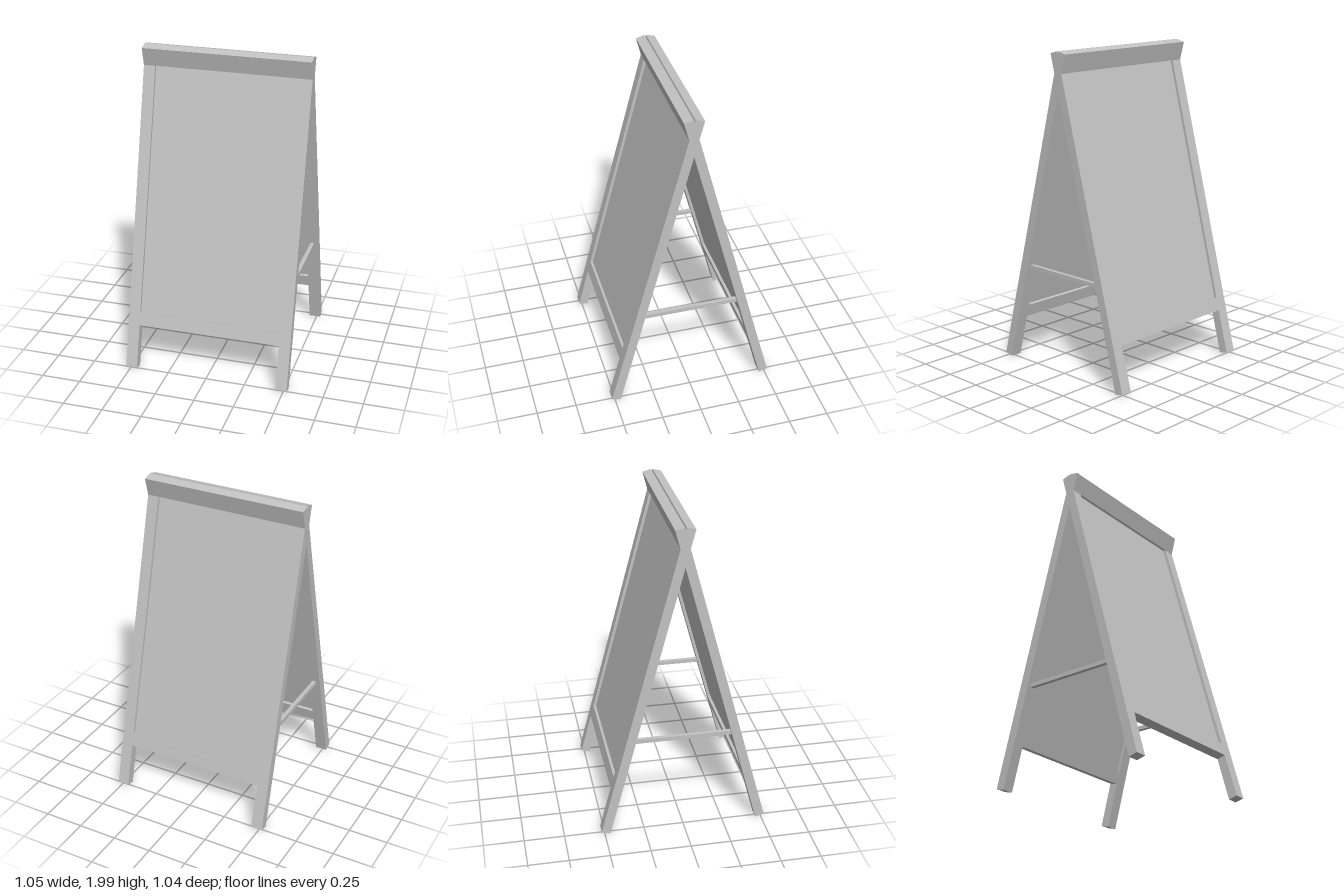
import * as THREE from 'three';

const TILT = 0.2592;      // lean of each board
const LENGTH = 2.048;     // board length along its slope
const HALF = 0.525;       // half width
const INNER = 0.452;      // half width between the stiles
const THICK = 0.057;
const RAIL = [0.28, 0.362]; // bottom rail, measured along the slope
const OPENING_TOP = 1.93;

export function createModel() {
  const model = new THREE.Group();
  model.name = 'sandwichBoard';
  const grey = new THREE.MeshStandardMaterial({ color: 0xc2c2c2 });
  grey.name = 'paintedGrey';

  const add = (parent, name, geometry, x, y, z) => {
    const mesh = new THREE.Mesh(geometry, grey);
    mesh.name = name;
    mesh.position.set(x, y, z);
    parent.add(mesh);
    return mesh;
  };

  // Frame outline: two stiles ending in legs, joined by rails around an opening
  const outline = new THREE.Shape([
    [-HALF, 0], [-INNER, 0], [-INNER, RAIL[0]], [INNER, RAIL[0]],
    [INNER, 0], [HALF, 0], [HALF, LENGTH], [-HALF, LENGTH],
  ].map(([x, y]) => new THREE.Vector2(x, y)));
  outline.holes.push(new THREE.Path([
    [-INNER, RAIL[1]], [-INNER, OPENING_TOP], [INNER, OPENING_TOP], [INNER, RAIL[1]],
  ].map(([x, y]) => new THREE.Vector2(x, y))));
  const frameGeometry = new THREE.ExtrudeGeometry(outline, { depth: THICK, bevelEnabled: false });
  frameGeometry.translate(0, 0, -THICK / 2);

  // Thin panel recessed on both faces of the frame
  const panelHeight = OPENING_TOP - RAIL[1];
  const panelGeometry = new THREE.BoxGeometry(INNER * 2, panelHeight, 0.021);

  // The two leaning boards cross at the top
  for (const [name, turn] of [['frontBoard', 0], ['backBoard', Math.PI]]) {
    const side = new THREE.Group();
    side.name = name;
    side.rotation.y = turn;
    const board = new THREE.Group();
    board.name = name + 'Slope';
    board.position.set(0, 0.0125, 0.4925);
    board.rotation.x = -TILT;
    add(board, 'frame', frameGeometry, 0, 0, 0);
    add(board, 'panel', panelGeometry, 0, RAIL[1] + panelHeight / 2, 0);
    side.add(board);
    model.add(side);
  }

  // Spreader bars between the stiles
  const barGeometry = new THREE.BoxGeometry(0.025, 0.025, 0.6);
  add(model, 'leftSpreader', barGeometry, 0.488, 0.633, 0);
  add(model, 'rightSpreader', barGeometry, -0.488, 0.633, 0);

  return model;
}
